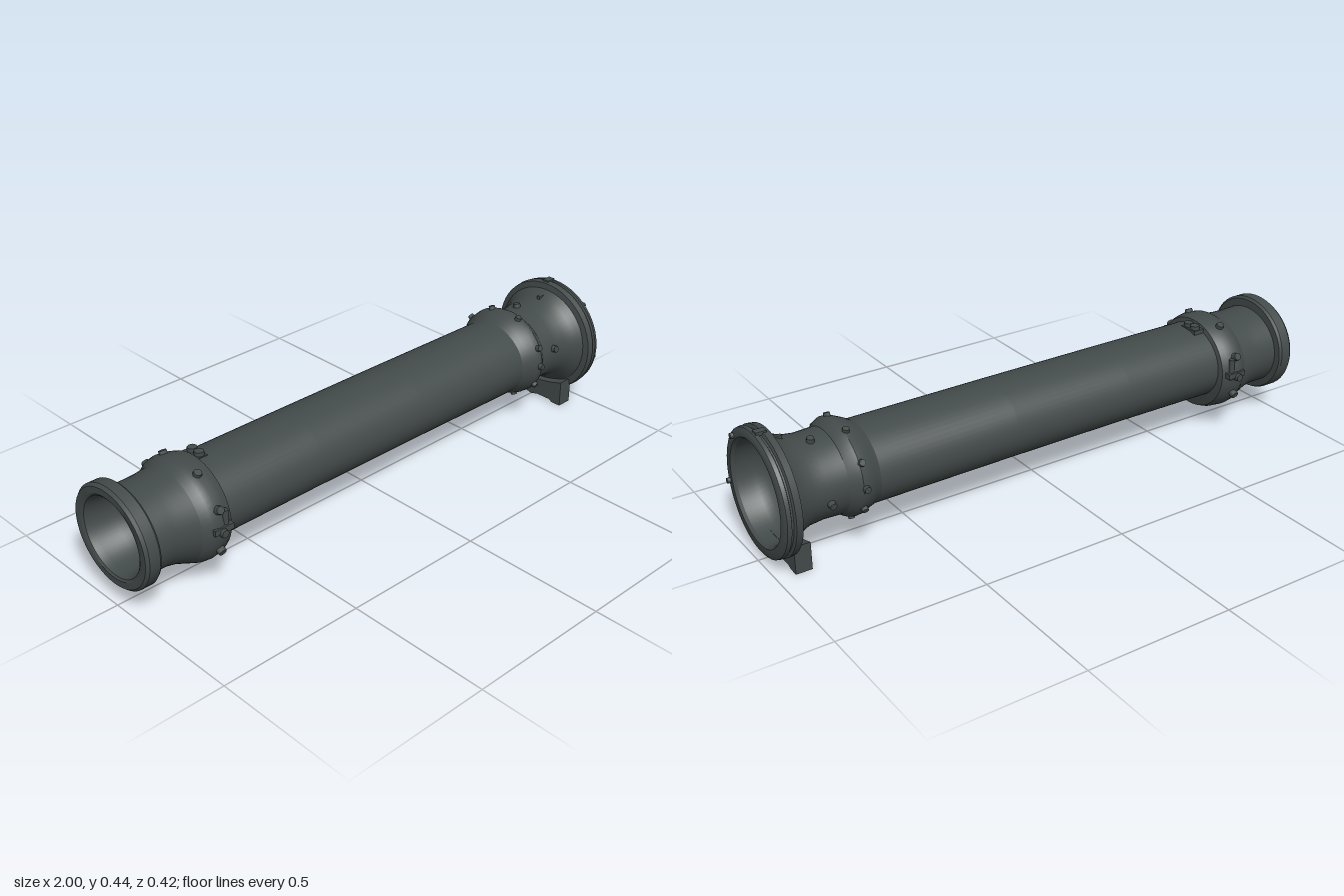
import * as THREE from 'three';
import { toCreasedNormals } from 'three/addons/utils/BufferGeometryUtils.js';

const SIDES = 56;

export function createModel() {
  const model = new THREE.Group();
  model.name = 'flangedPipe';
  const iron = new THREE.MeshStandardMaterial({ color: 0x434b4a });
  iron.name = 'dark grey iron';

  function add(name, geometry, parent = model) {
    const mesh = new THREE.Mesh(geometry, iron);
    mesh.name = name;
    parent.add(mesh);
    return mesh;
  }

  // Skins elliptical rings [x, centreY, centreZ, radiusY, radiusZ] along the pipe.
  function loft(name, rings) {
    const pos = [], index = [];
    for (const [x, cy, cz, ry, rz] of rings) {
      for (let k = 0; k < SIDES; k++) {
        const a = (k / SIDES) * Math.PI * 2;
        pos.push(x, cy + ry * Math.cos(a), cz + rz * Math.sin(a));
      }
    }
    for (let i = 0; i < rings.length - 1; i++) {
      for (let k = 0; k < SIDES; k++) {
        const n = (k + 1) % SIDES, p = i * SIDES, q = p + SIDES;
        index.push(p + k, p + n, q + k, p + n, q + n, q + k);
      }
    }
    const g = new THREE.BufferGeometry();
    g.setAttribute('position', new THREE.Float32BufferAttribute(pos, 3));
    g.setIndex(index);
    return add(name, toCreasedNormals(g, 0.6));
  }

  // Long, slightly oval barrel
  loft('barrel', [
    [-0.69, 0.24, -0.004, 0.131, 0.150],
    [-0.3, 0.241, -0.004, 0.130, 0.150],
    [0.15, 0.239, -0.004, 0.131, 0.150],
    [0.67, 0.234, -0.004, 0.133, 0.149],
  ]);

  // Left end: bowl, rim, neck and swollen collar
  loft('leftBowl', [
    [-0.80, 0.238, -0.004, 0.001, 0.001],
    [-0.81, 0.238, -0.004, 0.05, 0.05],
    [-0.84, 0.238, -0.004, 0.09, 0.092],
    [-0.90, 0.238, -0.004, 0.115, 0.12],
    [-0.97, 0.238, -0.004, 0.124, 0.131],
    [-0.995, 0.238, -0.004, 0.131, 0.138],
  ]);
  loft('leftFlange', [
    [-0.995, 0.238, -0.004, 0.131, 0.138],
    [-1.0, 0.238, -0.004, 0.138, 0.146],
    [-1.0, 0.238, -0.004, 0.160, 0.172],
    [-0.99, 0.238, -0.004, 0.169, 0.180],
    [-0.953, 0.238, -0.004, 0.169, 0.180],
    [-0.945, 0.236, -0.004, 0.163, 0.174],
    [-0.943, 0.235, -0.004, 0.137, 0.152],
  ]);
  loft('leftNeck', [
    [-0.943, 0.235, -0.004, 0.137, 0.152],
    [-0.88, 0.234, -0.004, 0.137, 0.151],
    [-0.84, 0.230, -0.004, 0.142, 0.154],
    [-0.79, 0.222, -0.004, 0.155, 0.164],
  ]);
  loft('leftCollar', [
    [-0.79, 0.222, -0.004, 0.155, 0.164],
    [-0.765, 0.226, -0.004, 0.166, 0.182],
    [-0.74, 0.227, -0.004, 0.168, 0.189],
    [-0.705, 0.226, -0.004, 0.166, 0.179],
    [-0.685, 0.227, -0.004, 0.160, 0.168],
    [-0.68, 0.24, -0.004, 0.130, 0.149],
  ]);

  // Right end: collar, flaring neck, grooved double flange and stepped socket
  loft('rightCollar', [
    [0.645, 0.234, -0.004, 0.132, 0.148],
    [0.67, 0.237, -0.004, 0.143, 0.158],
    [0.695, 0.239, -0.004, 0.152, 0.174],
    [0.72, 0.240, -0.004, 0.156, 0.176],
    [0.735, 0.239, -0.004, 0.151, 0.167],
    [0.755, 0.237, -0.004, 0.136, 0.153],
  ]);
  loft('rightNeck', [
    [0.755, 0.237, -0.004, 0.136, 0.153],
    [0.82, 0.236, -0.003, 0.134, 0.150],
    [0.87, 0.236, -0.002, 0.141, 0.153],
    [0.905, 0.234, -0.001, 0.158, 0.167],
    [0.93, 0.230, 0, 0.182, 0.188],
  ]);
  loft('rightFlange', [
    [0.93, 0.230, 0, 0.182, 0.188],
    [0.934, 0.227, 0, 0.206, 0.209],
    [0.957, 0.227, 0, 0.209, 0.212],
    [0.961, 0.227, 0, 0.199, 0.202],
    [0.967, 0.227, 0, 0.199, 0.202],
    [0.971, 0.227, 0, 0.207, 0.211],
    [0.984, 0.227, 0, 0.205, 0.208],
    [0.99, 0.227, 0, 0.196, 0.198],
    [0.99, 0.230, -0.001, 0.174, 0.174],
    [0.98, 0.230, -0.001, 0.166, 0.166],
  ]);
  loft('rightSocket', [
    [0.98, 0.230, -0.001, 0.166, 0.166],
    [0.92, 0.230, -0.001, 0.160, 0.160],
    [0.89, 0.230, -0.001, 0.146, 0.146],
    [0.875, 0.230, -0.001, 0.124, 0.127],
    [0.82, 0.230, -0.001, 0.117, 0.119],
    [0.76, 0.230, -0.001, 0.098, 0.1],
    [0.725, 0.230, -0.001, 0.055, 0.055],
    [0.715, 0.230, -0.001, 0.001, 0.001],
  ]);
  add('socketKey', new THREE.BoxGeometry(0.07, 0.045, 0.013)).position.set(0.925, 0.375, 0);

  // Foot cradle below the right flange
  const cradle = new THREE.Shape();
  cradle.moveTo(-0.136, 0);
  cradle.lineTo(-0.10, 0);
  cradle.lineTo(-0.085, 0.008);
  cradle.lineTo(-0.03, 0.008);
  cradle.lineTo(0, 0);
  cradle.lineTo(0.03, 0.008);
  cradle.lineTo(0.085, 0.008);
  cradle.lineTo(0.10, 0);
  cradle.lineTo(0.136, 0);
  cradle.lineTo(0.136, 0.095);
  cradle.quadraticCurveTo(0, 0.045, -0.136, 0.095);
  const foot = add('foot', new THREE.ExtrudeGeometry(cradle, { depth: 0.055, bevelEnabled: false, curveSegments: 12 }));
  foot.rotation.y = Math.PI / 2;
  foot.position.x = 0.885;

  // Bolts pointing outward from the pipe at angle a, measured from the top towards +z
  const boltGeometry = new THREE.CylinderGeometry(0.012, 0.015, 0.028, 8);
  function boltRing(name, x, cy, ry, rz, angles, size = 1) {
    const group = new THREE.Group();
    group.name = name;
    model.add(group);
    for (const deg of angles) {
      const a = THREE.MathUtils.degToRad(deg);
      const bolt = add('bolt', boltGeometry, group);
      bolt.position.set(x, cy + ry * Math.cos(a), -0.004 + rz * Math.sin(a));
      bolt.rotation.x = a;
      bolt.scale.setScalar(size);
    }
  }
  const around = [20, 65, 90, 120, 160, 200, 240, 270, 300, 340];
  boltRing('leftCollarBolts', -0.735, 0.227, 0.161, 0.188, [25, 65, 90, 115, 245, 270, 295, 335], 1.1);
  boltRing('rightCollarBolts', 0.712, 0.24, 0.152, 0.174, around, 0.9);
  boltRing('neckBolts', 0.815, 0.236, 0.134, 0.151, [78, 168, 258, 348]);

  // Bolt heads on the face of the right flange
  const faceBolts = new THREE.Group();
  faceBolts.name = 'flangeFaceBolts';
  model.add(faceBolts);
  for (const [y, z] of [[0.37, 0.125], [0.188, 0.188]]) {
    const bolt = add('faceBolt', new THREE.CylinderGeometry(0.009, 0.01, 0.02, 8), faceBolts);
    bolt.rotation.z = -Math.PI / 2;
    bolt.position.set(0.99, y, z);
  }
  add('flangeTopTab', new THREE.BoxGeometry(0.035, 0.012, 0.024)).position.set(0.962, 0.433, -0.015);

  // Clamp on top of the barrel and latch rod on the front of the left collar
  for (const z of [-0.045, -0.012]) {
    const clamp = add('clampScrew', new THREE.CylinderGeometry(0.016, 0.018, 0.04, 8));
    clamp.position.set(-0.658, 0.367, z);
  }
  add('clampBase', new THREE.BoxGeometry(0.04, 0.02, 0.07)).position.set(-0.66, 0.364, -0.03);
  for (const side of [1, -1]) {
    const rod = add('latchRod', new THREE.CylinderGeometry(0.01, 0.01, 0.075, 8));
    rod.position.set(-0.715, 0.255, -0.004 + side * 0.178);
    add('latchBlock', new THREE.BoxGeometry(0.07, 0.02, 0.03)).position.set(-0.73, 0.235, -0.004 + side * 0.178);
  }

  return model;
}
